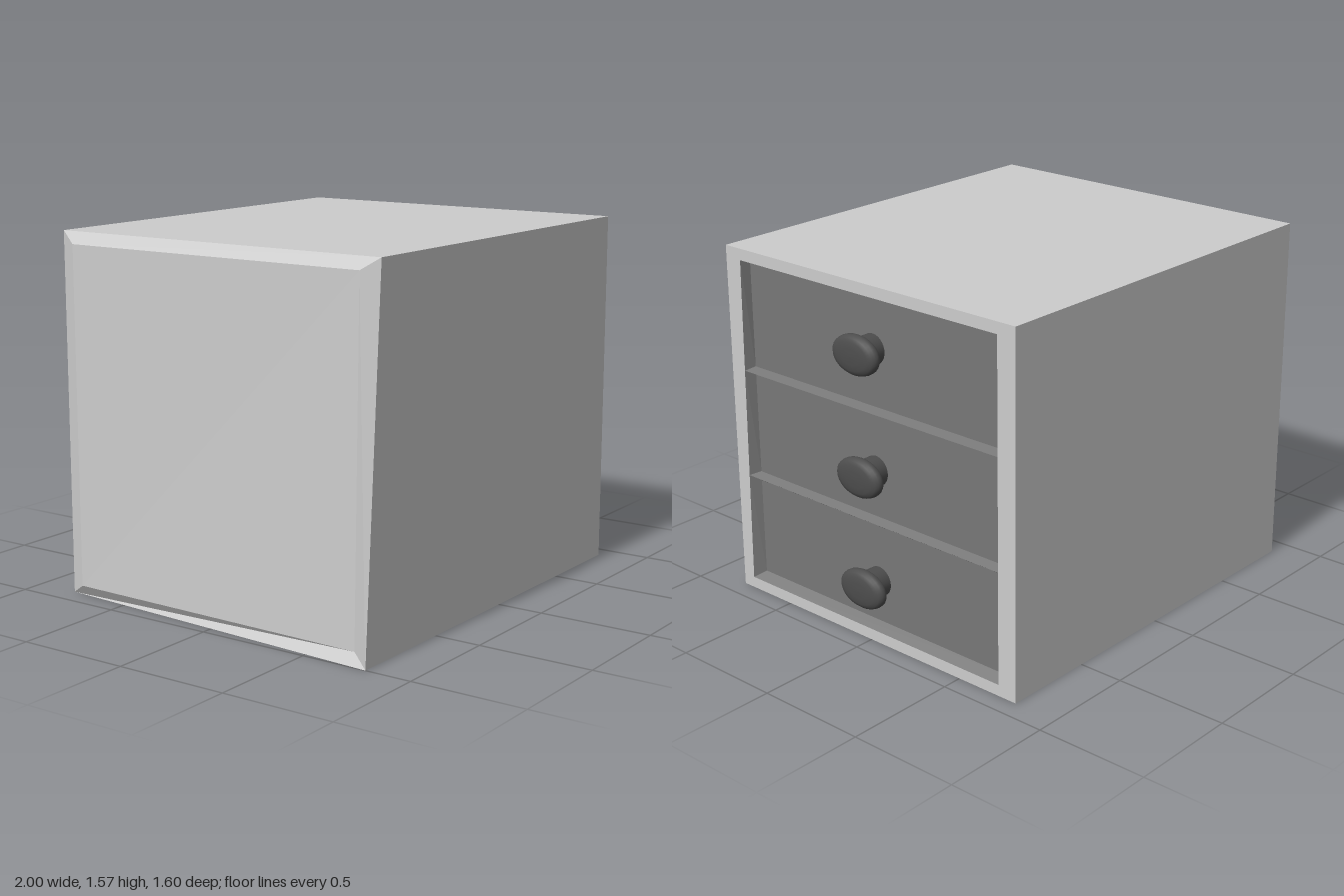
import * as THREE from 'three';

// Four corners of a section facing +x: bottom +z, bottom -z, top -z, top +z
const ring = (xs, y0, y1, zBack, zLow, zHigh = zLow) => [
  [xs[0], y0, zLow], [xs[1], y0, zBack], [xs[2], y1, zBack], [xs[3], y1, zHigh],
];
const flat = (x) => [x, x, x, x];

// Skin consecutive sections with flat faces, optionally closing the ends
function skin(rings, capStart, capEnd) {
  const pos = [];
  const quad = (a, b, c, d) => pos.push(...a, ...b, ...c, ...a, ...c, ...d);
  for (let r = 0; r < rings.length - 1; r++) {
    const A = rings[r], B = rings[r + 1];
    for (let i = 0; i < 4; i++) {
      const j = (i + 1) % 4;
      quad(A[i], A[j], B[j], B[i]);
    }
  }
  if (capStart) quad(...[...rings[0]].reverse());
  if (capEnd) quad(...rings[rings.length - 1]);
  const geo = new THREE.BufferGeometry();
  geo.setAttribute('position', new THREE.Float32BufferAttribute(pos, 3));
  geo.computeVertexNormals();
  return geo;
}

export function createModel() {
  const model = new THREE.Group();
  model.name = 'drawerCabinet';
  const shell = new THREE.MeshStandardMaterial({ color: 0xcccccc });
  shell.name = 'light grey shell';
  const panel = new THREE.MeshStandardMaterial({ color: 0x777777 });
  panel.name = 'mid grey drawer';
  const dark = new THREE.MeshStandardMaterial({ color: 0x4d4d4d });
  dark.name = 'dark grey knob';

  const add = (parent, name, geo, mat) => {
    const mesh = new THREE.Mesh(geo, mat);
    mesh.name = name;
    parent.add(mesh);
    return mesh;
  };

  // Cabinet shell: bowed back panel, straight walls and the frame around the drawers
  const front = 0.912, floor = 0.872;
  const yLow = 0.05, yHigh = 1.52;
  const openZ = (y) => THREE.MathUtils.lerp(0.735, 0.71, (y - yLow) / (yHigh - yLow));
  add(model, 'cabinet', skin([
    ring([-0.965, -0.935, -0.935, -0.935], 0.05, 1.52, -0.72, 0.72),
    ring([-1, -0.9, -0.9, -0.9], 0, 1.57, -0.8, 0.795),
    ring(flat(front), 0, 1.57, -0.8, 0.795),
    ring(flat(front), yLow, yHigh, -0.71, openZ(yLow), openZ(yHigh)),
  ], true, false), shell);

  // Knob profiles, turned around x; the cap is stretched to an oval
  const turned = (pts) => new THREE.LatheGeometry(
    pts.map(([r, x]) => new THREE.Vector2(r, x)), 32).rotateZ(-Math.PI / 2);
  const stemGeo = turned([[0.065, 0.865], [0.065, 0.95]]);
  const rimGeo = turned([[0, 0.948], [0.94, 0.948]]).scale(1, 0.085, 0.123);
  const capGeo = turned([[0.94, 0.948], [0.99, 0.956], [1, 0.966], [0.97, 0.978],
    [0.88, 0.988], [0.7, 0.995], [0.4, 0.999], [0, 1]]).scale(1, 0.085, 0.123);

  // Drawers: bevelled edges down to a recessed panel
  const drawers = [
    { name: 'bottomDrawer', open: [yLow, 0.545], inner: [0.08, 0.518], knob: 0.265 },
    { name: 'middleDrawer', open: [0.545, 1.03], inner: [0.56, 1.014], knob: 0.765 },
    { name: 'topDrawer', open: [1.03, yHigh], inner: [1.045, 1.505], knob: 1.29 },
  ];
  for (const d of drawers) {
    const group = new THREE.Group();
    group.name = d.name;
    model.add(group);
    add(group, 'drawerFront', skin([
      ring(flat(front), ...d.open, -0.71, openZ(d.open[0]), openZ(d.open[1])),
      ring(flat(floor), ...d.inner, -0.695, 0.694),
    ], false, true), panel);
    const knob = new THREE.Group();
    knob.name = 'knob';
    knob.position.set(0, d.knob, -0.017);
    group.add(knob);
    add(knob, 'knobStem', stemGeo, dark);
    add(knob, 'knobRim', rimGeo, dark);
    add(knob, 'knobCap', capGeo, dark);
    // Flat back of the cap faces the drawer
    knob.children[1].geometry = rimGeo;
  }
  return model;
}
